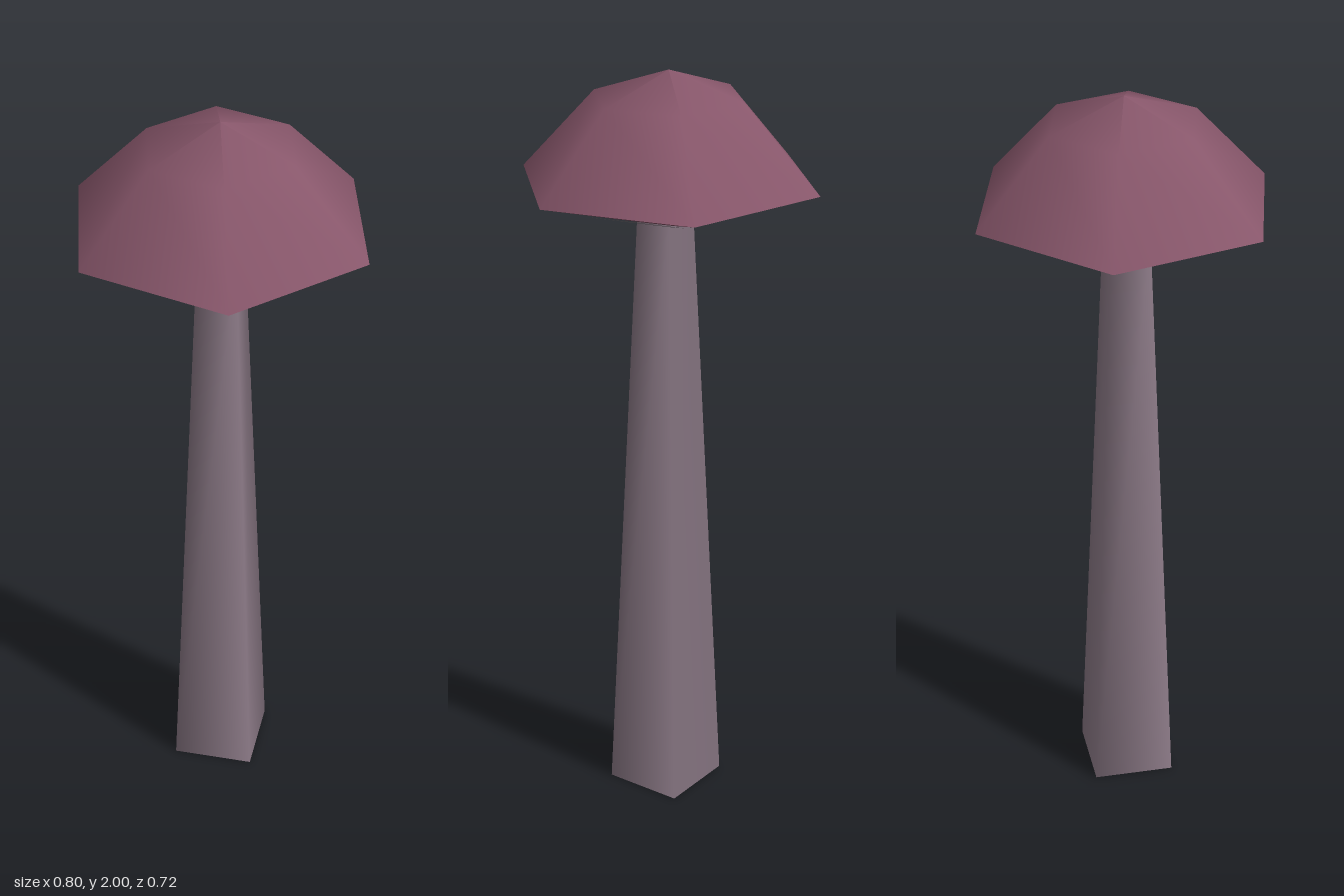
import * as THREE from 'three';

const rad = THREE.MathUtils.degToRad;
const HEX_START = rad(34);    // cap corners: 34, 94, 154... degrees from +z
const RIM_R = 0.401, RIM_Y = 1.716, UNDER_Y = 1.597;

function hexLathe(points) {
  return new THREE.LatheGeometry(points.map(([r, y]) => new THREE.Vector2(r, y)), 6, HEX_START);
}

// Scalloped patch lying just below the six-sided underside cone
function gillGeometry() {
  const n = 96, sector = rad(60);
  const pos = [0, UNDER_Y - 0.004, 0], index = [];
  for (let i = 0; i < n; i++) {
    const t = (i / n) * Math.PI * 2, phi = HEX_START + t;
    const r = 0.248 + 0.02 * Math.abs(Math.sin(t * 8 + 0.3));
    const off = (t % sector) - sector / 2;
    const slope = (RIM_Y - UNDER_Y) / (RIM_R * Math.cos(sector / 2));
    pos.push(r * Math.sin(phi), UNDER_Y - 0.004 + slope * r * Math.cos(off), r * Math.cos(phi));
    index.push(0, 1 + ((i + 1) % n), 1 + i);
  }
  const g = new THREE.BufferGeometry();
  g.setAttribute('position', new THREE.Float32BufferAttribute(pos, 3));
  g.setIndex(index);
  g.computeVertexNormals();
  return g;
}

export function createModel() {
  const group = new THREE.Group();
  const material = (name, color) => {
    const m = new THREE.MeshStandardMaterial({ color });
    m.name = name;
    return m;
  };
  const capMat = material('dusky rose', 0x87566a);
  const stemMat = material('mauve grey', 0x8d7b88);
  const gillMat = material('gill grey', 0x81797e);

  const add = (name, geometry, mat) => {
    const mesh = new THREE.Mesh(geometry, mat);
    mesh.name = name;
    group.add(mesh);
    return mesh;
  };

  // Tapered four-sided stem, its top hidden inside the cap
  const stem = add('stem', new THREE.CylinderGeometry(0.0715, 0.153, 1.64, 4, 1, false, rad(4)), stemMat);
  stem.position.set(-0.0025, 0.82, 0.008);

  // Six-sided cap with a sharp rim
  add('capTop', hexLathe([[RIM_R, RIM_Y], [0.201, 1.932], [0, 2]]), capMat);
  add('capUnderside', hexLathe([[0, UNDER_Y], [RIM_R, RIM_Y]]), capMat);
  add('gills', gillGeometry(), gillMat);

  return group;
}
